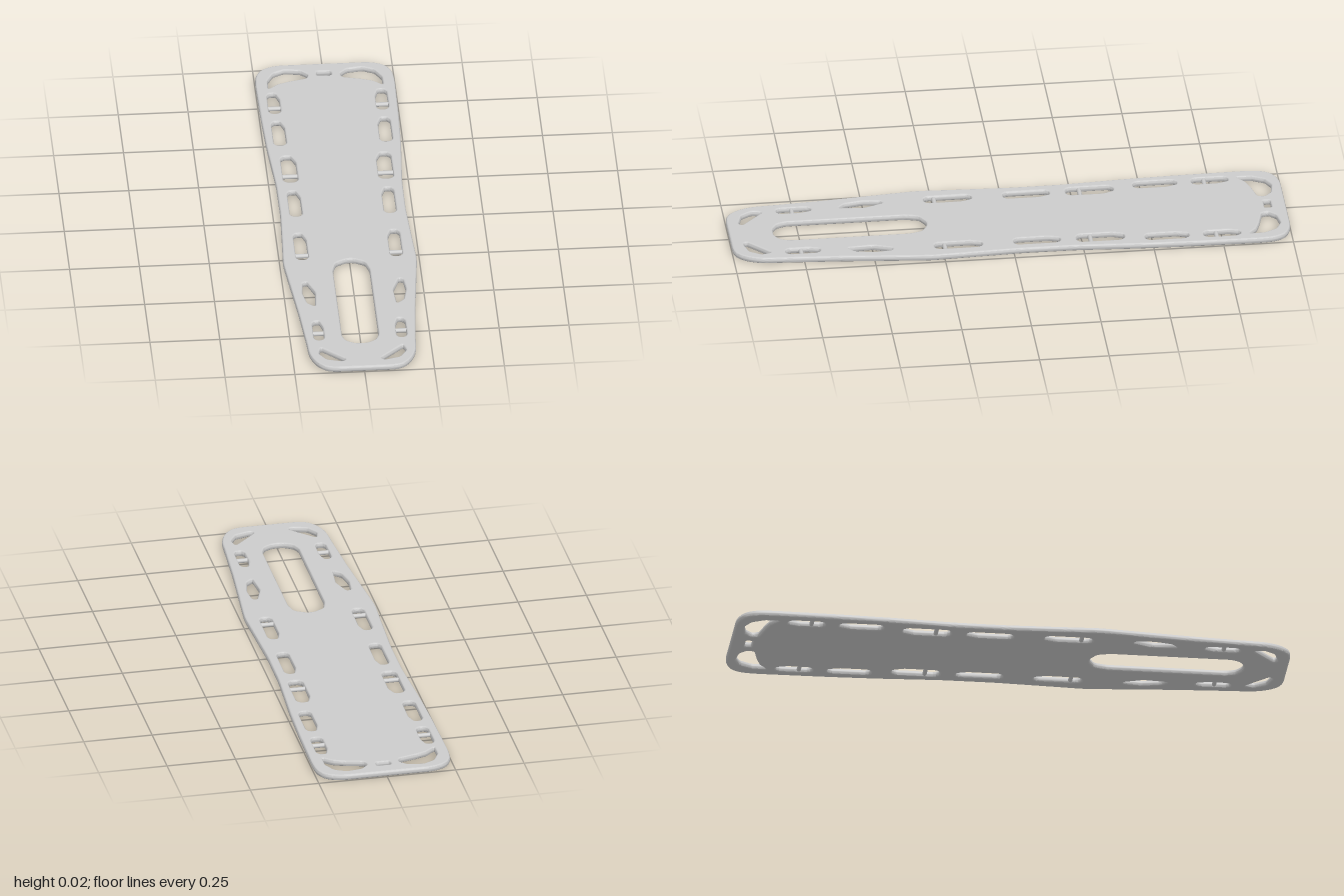
import * as THREE from 'three';
import { toCreasedNormals } from 'three/addons/utils/BufferGeometryUtils.js';

const H = 0.0225, BEVEL = 0.009;

// Closed path through [x, z] points, corners rounded by up to r
function roundedPath(points, r, PathType = THREE.Path) {
  const p = points.map(([x, z]) => new THREE.Vector2(x, -z));
  const path = new PathType();
  p.forEach((c, i) => {
    const a = p[(i + p.length - 1) % p.length], b = p[(i + 1) % p.length];
    const start = c.clone().lerp(a, Math.min(0.45, r / c.distanceTo(a)));
    const end = c.clone().lerp(b, Math.min(0.45, r / c.distanceTo(b)));
    if (i === 0) path.moveTo(start.x, start.y);
    else path.lineTo(start.x, start.y);
    path.quadraticCurveTo(c.x, c.y, end.x, end.y);
  });
  path.closePath();
  return path;
}

const mirror = pts => pts.map(([x, z]) => [-x, z]);
const symmetric = half => [...half, ...mirror(half).reverse()];

// Board edge on the +x side, head to foot
const edge = [[0.17, -1], [0.22, -0.98], [0.245, -0.94], [0.25, -0.88], [0.246, -0.62], [0.24, -0.45],
  [0.226, -0.22], [0.225, -0.03], [0.234, 0.18], [0.24, 0.3], [0.226, 0.45], [0.21, 0.62],
  [0.196, 0.82], [0.192, 0.9], [0.175, 0.95], [0.148, 0.985], [0.115, 1]];

// Side hand slots: inner x, outer x, start z, end z, strap pin z
const slots = [
  [0.172, 0.214, -0.815, -0.685, -0.73],
  [0.168, 0.212, -0.63, -0.475],
  [0.145, 0.197, -0.4, -0.23, -0.28],
  [0.147, 0.19, -0.17, -0.005],
  [0.147, 0.19, 0.11, 0.28, 0.243],
  [0.13, 0.166, 0.69, 0.812, 0.757],
];
const slotOutline = ([a, b, s, e]) => {
  const w = b - a;
  return [[a + w * 0.3, s], [b - w * 0.25, s], [b, s + 0.016], [b, e - 0.014], [b - w * 0.25, e],
    [a + w * 0.25, e], [a, e - 0.014], [a, s + 0.04]];
};

// Grips at the head and foot corners, and the slanted leg slots
const headGrip = [[0.058, -0.93], [0.085, -0.957], [0.14, -0.965], [0.18, -0.945], [0.204, -0.9],
  [0.205, -0.848], [0.172, -0.877], [0.13, -0.892], [0.065, -0.908]];
const footGrip = [[0.147, 0.865], [0.156, 0.9], [0.13, 0.94], [0.075, 0.956], [0.064, 0.945]];
const legSlot = [[0.165, 0.43], [0.179, 0.435], [0.185, 0.5], [0.172, 0.565], [0.147, 0.588], [0.14, 0.5]];

const legOpening = symmetric([[0.012, 0.291], [0.052, 0.313], [0.065, 0.36], [0.065, 0.79], [0.052, 0.822], [0.02, 0.841]]);
const headSlot = symmetric([[0.025, -0.947], [0.025, -0.923]]);

function boardGeometry() {
  // Counter-clockwise outline, so that every hole is turned the right way
  const shape = roundedPath(symmetric(edge).reverse(), 0.03, THREE.Shape);
  const sideHoles = [headGrip, footGrip, legSlot, ...slots.map(slotOutline)];
  for (const hole of sideHoles) {
    shape.holes.push(roundedPath(hole, 0.008), roundedPath(mirror(hole), 0.008));
  }
  shape.holes.push(roundedPath(legOpening, 0.012), roundedPath(headSlot, 0.006));

  let geo = new THREE.ExtrudeGeometry(shape, {
    depth: H - 2 * BEVEL, curveSegments: 4, bevelEnabled: true,
    bevelThickness: BEVEL, bevelSize: 0.007, bevelOffset: -0.007, bevelSegments: 4,
  });
  geo.rotateX(-Math.PI / 2).translate(0, BEVEL, 0);
  geo = toCreasedNormals(geo, 0.7);

  // Keep the broad top and bottom faces perfectly flat-shaded
  const pos = geo.attributes.position, nor = geo.attributes.normal;
  for (let i = 0; i < pos.count; i += 3) {
    for (const [y, n] of [[0, -1], [H, 1]]) {
      if ([0, 1, 2].every(k => Math.abs(pos.getY(i + k) - y) < 1e-5)) {
        for (let k = 0; k < 3; k++) nor.setXYZ(i + k, 0, n, 0);
      }
    }
  }
  return geo;
}

export function createModel() {
  const group = new THREE.Group();
  group.name = 'spineBoard';
  const material = new THREE.MeshStandardMaterial({ color: 0xcccccc });

  const board = new THREE.Mesh(boardGeometry(), material);
  board.name = 'board';
  group.add(board);

  // Strap pins crossing some of the hand slots
  for (const [a, b, , , pinZ] of slots) {
    if (pinZ === undefined) continue;
    for (const side of [-1, 1]) {
      const pin = new THREE.Mesh(new THREE.CylinderGeometry(0.008, 0.008, b - a + 0.012, 12), material);
      pin.name = side > 0 ? 'leftStrapPin' : 'rightStrapPin';
      pin.rotation.z = Math.PI / 2;
      pin.position.set(side * (a + b) / 2, H / 2, pinZ);
      group.add(pin);
    }
  }
  return group;
}
